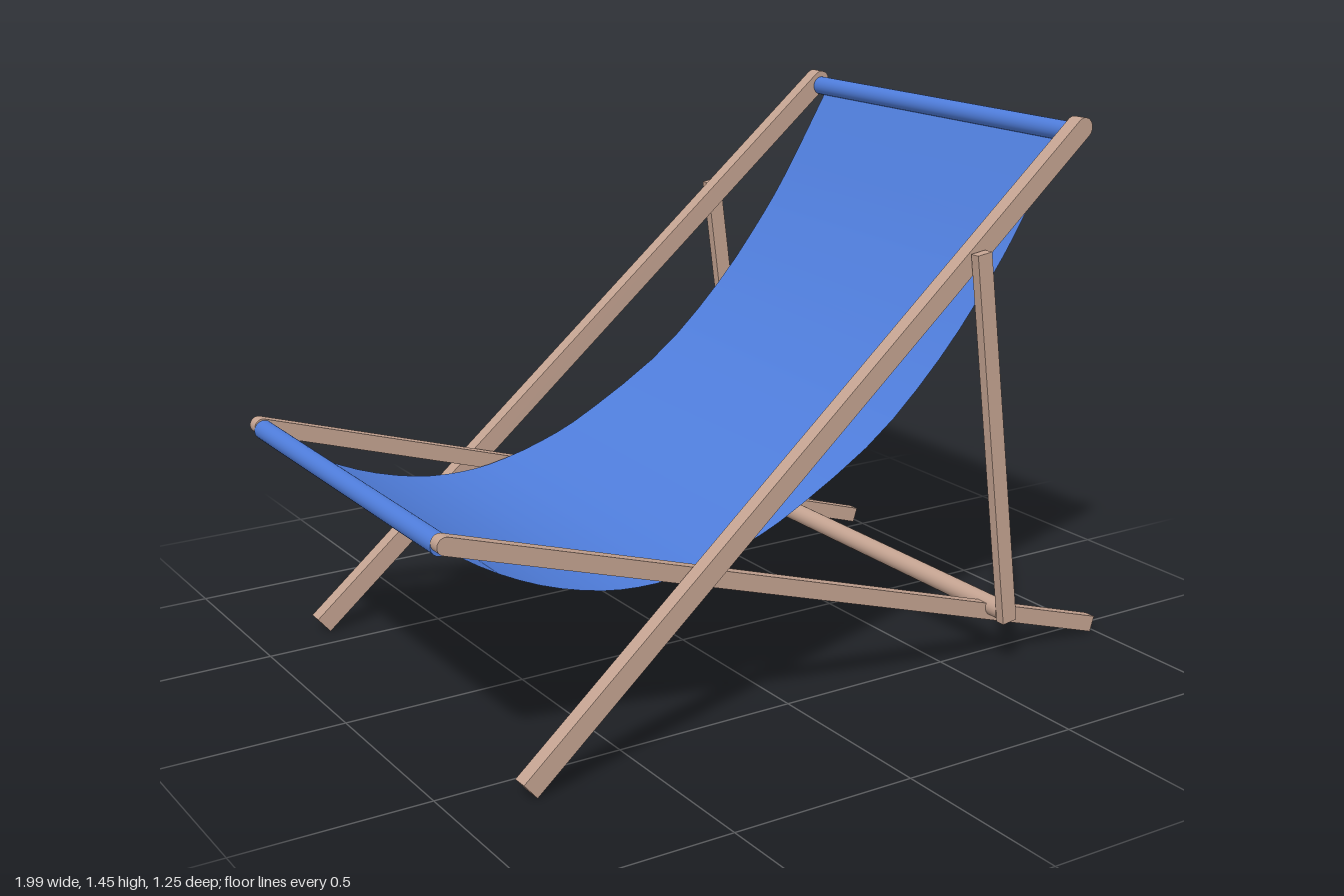
import * as THREE from 'three';

const wood = new THREE.MeshStandardMaterial({ color: 0xc4a391 });
const blue = new THREE.MeshStandardMaterial({ color: 0x4f7ddb });
const cloth = new THREE.MeshStandardMaterial({ color: 0x4f7ddb, side: THREE.DoubleSide });

// Flat wooden bar between two centre points, optionally rounded at the second end
function bar(name, from, to, width, thickness, rounded) {
  const a = new THREE.Vector3(...from);
  const dir = new THREE.Vector3(...to).sub(a);
  const length = dir.length();
  const h = width / 2;
  const shape = new THREE.Shape();
  shape.moveTo(0, -h);
  shape.lineTo(length, -h);
  if (rounded) shape.absarc(length, 0, h, -Math.PI / 2, Math.PI / 2, false);
  else shape.lineTo(length, h);
  shape.lineTo(0, h);
  shape.closePath();
  const geometry = new THREE.ExtrudeGeometry(shape, { depth: thickness, bevelEnabled: false, curveSegments: 10 });
  geometry.translate(0, 0, -thickness / 2);

  const xAxis = dir.normalize();
  const yAxis = new THREE.Vector3(0, 0, 1).cross(xAxis).normalize();
  const zAxis = xAxis.clone().cross(yAxis);
  geometry.applyMatrix4(new THREE.Matrix4().makeBasis(xAxis, yAxis, zAxis).setPosition(a));
  const mesh = new THREE.Mesh(geometry, wood);
  mesh.name = name;
  return mesh;
}

// Round rod running across the chair
function rod(name, x, y, radius, length, material) {
  const geometry = new THREE.CylinderGeometry(radius, radius, length, 24);
  geometry.rotateX(Math.PI / 2);
  const mesh = new THREE.Mesh(geometry, material);
  mesh.position.set(x, y, 0);
  mesh.name = name;
  return mesh;
}

// Sagging sheet: a side profile swept across the width
function sling() {
  const profile = [
    [-0.965, 0.615], [-0.84, 0.535], [-0.7, 0.47], [-0.55, 0.428], [-0.42, 0.416],
    [-0.3, 0.426], [-0.15, 0.464], [0, 0.526], [0.25, 0.672], [0.45, 0.852],
    [0.6, 1.03], [0.7, 1.172], [0.835, 1.395],
  ];
  const curve = new THREE.SplineCurve(profile.map(([x, y]) => new THREE.Vector2(x, y)));
  const segments = 32;
  const geometry = new THREE.PlaneGeometry(1, 1.028, segments, 1);
  geometry.rotateX(-Math.PI / 2);
  const pos = geometry.attributes.position;
  for (let i = 0; i < pos.count; i++) {
    const p = curve.getPoint(THREE.MathUtils.clamp(pos.getX(i) + 0.5, 0, 1));
    pos.setXYZ(i, p.x, p.y, pos.getZ(i));
  }
  geometry.computeVertexNormals();
  const mesh = new THREE.Mesh(geometry, cloth);
  mesh.name = 'fabricSling';
  return mesh;
}

export function createModel() {
  const chair = new THREE.Group();
  chair.name = 'deckChair';

  // Side frames, mirrored across the middle
  for (const [side, s] of [['left', 1], ['right', -1]]) {
    const frame = new THREE.Group();
    frame.name = `${side}Frame`;
    frame.add(
      bar('backRail', [-0.81, 0.021, 0.598 * s], [0.838, 1.419, 0.567 * s], 0.054, 0.042, true),
      bar('seatRail', [0.989, 0.023, 0.543 * s], [-0.976, 0.636, 0.541 * s], 0.044, 0.034, true),
      bar('strut', [0.627, 0.13, 0.612 * s], [0.491, 1.139, 0.612 * s], 0.045, 0.027, false),
    );
    chair.add(frame);
  }

  // Cross rods and fabric
  chair.add(
    rod('topRod', 0.835, 1.404, 0.026, 1.085, blue),
    rod('footRod', -0.973, 0.628, 0.026, 1.05, blue),
    rod('rearCrossbar', 0.624, 0.155, 0.026, 1.2, wood),
    sling(),
  );
  return chair;
}
